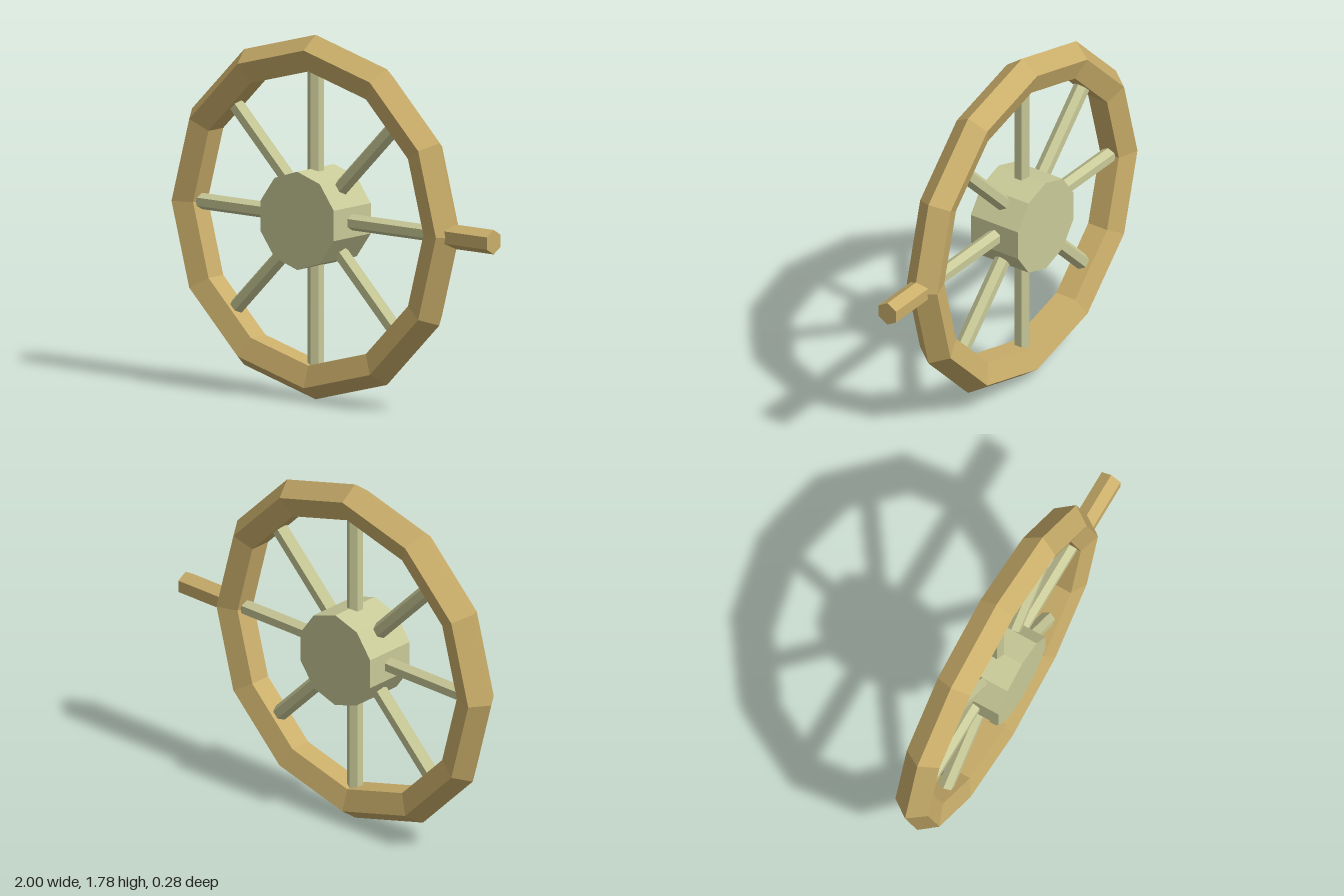
import * as THREE from 'three';

const CENTRE_X = -0.11, CENTRE_Y = 0.895;

export function createModel() {
  const model = new THREE.Group();
  model.name = 'handWheel';

  const wood = new THREE.MeshStandardMaterial({ color: 0xcaae6a });
  wood.name = 'tan wood';
  const pale = new THREE.MeshStandardMaterial({ color: 0xc9ca98 });
  pale.name = 'pale olive';

  const wheel = new THREE.Group();
  wheel.name = 'wheel';
  wheel.position.set(CENTRE_X, CENTRE_Y, 0);
  model.add(wheel);

  // Faceted meshes: split vertices so each face keeps its own flat normal
  const add = (name, geometry, material, parent = wheel) => {
    const flat = geometry.toNonIndexed();
    flat.computeVertexNormals();
    const mesh = new THREE.Mesh(flat, material);
    mesh.name = name;
    parent.add(mesh);
    return mesh;
  };

  // Six-sided bar along +x from x0 to x1, with a flat side facing the front
  const bar = (radius, x0, x1) =>
    new THREE.CylinderGeometry(radius, radius, x1 - x0, 6)
      .rotateY(Math.PI / 2)
      .rotateZ(-Math.PI / 2)
      .translate((x0 + x1) / 2, 0, 0);

  // Twelve-sided rim with a five-sided section, ridge pointing outward
  add('rim', new THREE.TorusGeometry(0.795, 0.095, 5, 12), wood);

  // Ten-sided hub, corner at the top
  add('hub', new THREE.CylinderGeometry(0.24, 0.24, 0.28, 10).rotateX(Math.PI / 2), pale);

  // Eight spokes; the upright pair is turned so a ridge faces the front
  for (let i = 0; i < 8; i++) {
    const geometry = bar(0.04, 0.1, 0.74);
    if (i % 4 === 2) geometry.rotateX(Math.PI / 2);
    add('spoke' + (i + 1), geometry.rotateZ((i * Math.PI) / 4), pale);
  }

  // Crank handle sticking out of the rim
  add('handle', bar(0.06, 0.81, 1.11), wood);

  return model;
}
